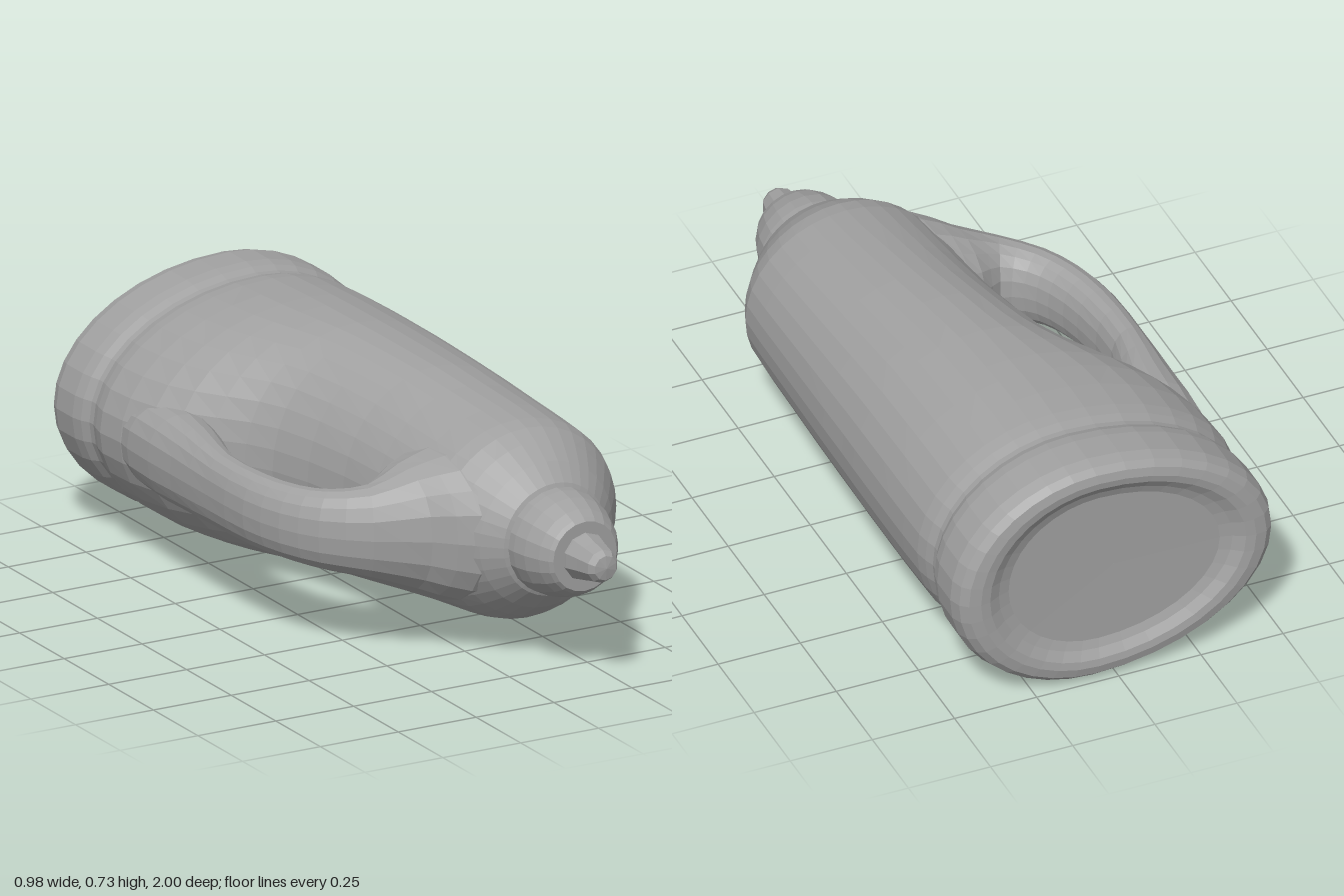
import * as THREE from 'three';

const MID_Y = 0.37;
const AXIS_X = 0.17;

// Skins a list of rings (equal point counts) and gives the skin faceted normals.
function skin(rings) {
  const n = rings[0].length;
  const index = [];
  for (let r = 0; r < rings.length - 1; r++) {
    for (let s = 0; s < n; s++) {
      const a = r * n + s, b = r * n + (s + 1) % n;
      index.push(a, b, b + n, a, b + n, a + n);
    }
  }
  const g = new THREE.BufferGeometry().setFromPoints(rings.flat());
  g.setIndex(index);
  const flat = g.toNonIndexed();
  flat.computeVertexNormals();
  return flat;
}

// Egg-shaped ring: widest point, left end, right end and half height at depth z.
function eggRing([z, centre, left, right, h], sides = 36) {
  return Array.from({ length: sides }, (_, i) => {
    const a = (i / sides) * Math.PI * 2, c = Math.cos(a);
    const x = centre + c * (c > 0 ? right - centre : centre - left);
    return new THREE.Vector3(x, MID_Y + h * Math.sin(a), z);
  });
}

// Full egg section of the base, scaled about its middle.
function baseRow([z, s]) {
  return [z, 0.07 * s, -0.487 * s, 0.487 * s, 0.365 * s];
}

function bodyGeometry() {
  // Recessed floor, rounded rim, base band and groove
  const base = [
    [-0.965, 0.001], [-0.968, 0.66], [-0.978, 0.73], [-0.996, 0.8], [-1, 0.86],
    [-0.994, 0.93], [-0.975, 0.975], [-0.94, 1], [-0.85, 1], [-0.815, 0.985],
    [-0.79, 0.958], [-0.77, 0.955], [-0.74, 0.975],
  ].map(baseRow);
  // Egg section turning into a round bottle, then the shoulder
  const sides = [
    [-0.7, 0.07, -0.484, 0.482, 0.36],
    [-0.6, 0.07, -0.477, 0.484, 0.364],
    [-0.5, 0.075, -0.45, 0.485, 0.365],
    [-0.42, 0.08, -0.405, 0.485, 0.364],
    [-0.34, 0.085, -0.34, 0.485, 0.362],
    [-0.26, 0.09, -0.272, 0.485, 0.36],
    [-0.18, 0.1, -0.228, 0.484, 0.355],
    [-0.05, 0.115, -0.19, 0.484, 0.345],
    [0.1, 0.135, -0.163, 0.483, 0.331],
    [0.25, 0.15, -0.15, 0.482, 0.315],
    [0.4, 0.165, -0.145, 0.481, 0.3],
    [0.5, AXIS_X, -0.138, 0.478, 0.29],
    [0.55, AXIS_X, -0.118, 0.458, 0.28],
    [0.6, AXIS_X, -0.086, 0.425, 0.255],
    [0.66, AXIS_X, -0.045, 0.382, 0.214],
    [0.71, AXIS_X, 0.005, 0.335, 0.165],
    [0.72, AXIS_X, 0.03, 0.31, 0.14],
    [0.72, AXIS_X, 0.169, 0.171, 0.001],
  ];
  return skin([...base, ...sides].map((row) => eggRing(row)));
}

function handleGeometry() {
  // Outer x, z; inner x, z; half thickness in y
  const stations = [
    [-0.45, -0.72, -0.3, -0.62, 0.08],
    [-0.484, -0.55, -0.28, -0.45, 0.13],
    [-0.488, -0.3, -0.318, -0.272, 0.125],
    [-0.488, -0.1, -0.37, -0.1, 0.11],
    [-0.485, 0.1, -0.355, 0.1, 0.108],
    [-0.455, 0.25, -0.32, 0.22, 0.11],
    [-0.395, 0.37, -0.275, 0.285, 0.117],
    [-0.28, 0.48, -0.215, 0.31, 0.135],
    [-0.14, 0.565, -0.15, 0.25, 0.18],
    [-0.035, 0.665, -0.07, 0.2, 0.215],
    [0.06, 0.69, 0, 0.15, 0.22],
  ];
  const outer = new THREE.CatmullRomCurve3(stations.map((s) => new THREE.Vector3(s[0], s[4], s[1])));
  const inner = new THREE.CatmullRomCurve3(stations.map((s) => new THREE.Vector3(s[2], s[4], s[3])));
  const steps = (stations.length - 1) * 2, sides = 18;
  const rings = [];
  for (let i = 0; i <= steps; i++) {
    const o = outer.getPoint(i / steps), n = inner.getPoint(i / steps);
    const mid = o.clone().add(n).multiplyScalar(0.5);
    const half = o.clone().sub(n).multiplyScalar(0.5);
    rings.push(Array.from({ length: sides }, (_, k) => {
      const a = (k / sides) * Math.PI * 2, c = Math.cos(a), s = Math.sin(a);
      // slightly squared section
      const y = -Math.sign(s) * Math.pow(Math.abs(s), 0.85) * mid.y;
      return new THREE.Vector3(mid.x + half.x * c, MID_Y + y, mid.z + half.z * c);
    }));
  }
  return skin(rings);
}

// Turned part on the bottle axis; profile is [radius, z].
function turned(profile, sides) {
  const g = new THREE.LatheGeometry(profile.map(([r, z]) => new THREE.Vector2(r, z)), sides).toNonIndexed();
  g.computeVertexNormals();
  g.rotateX(Math.PI / 2);
  g.translate(AXIS_X, MID_Y, 0);
  return g;
}

export function createModel() {
  const group = new THREE.Group();
  group.name = 'bottle';
  const grey = new THREE.MeshStandardMaterial({ color: 0xa0a0a0 });
  grey.name = 'grey plastic';

  const add = (name, geometry) => {
    const mesh = new THREE.Mesh(geometry, grey);
    mesh.name = name;
    group.add(mesh);
  };

  add('body', bodyGeometry());
  add('handle', handleGeometry());
  add('collar', turned([
    [0.13, 0.71], [0.155, 0.718], [0.154, 0.745], [0.146, 0.79], [0.128, 0.84],
    [0.112, 0.868], [0.102, 0.878], [0, 0.878],
  ], 20));
  add('nozzleTip', turned([
    [0.071, 0.87], [0.069, 0.885], [0.058, 0.93], [0.049, 0.975], [0.036, 0.994], [0, 1],
  ], 10));
  return group;
}
